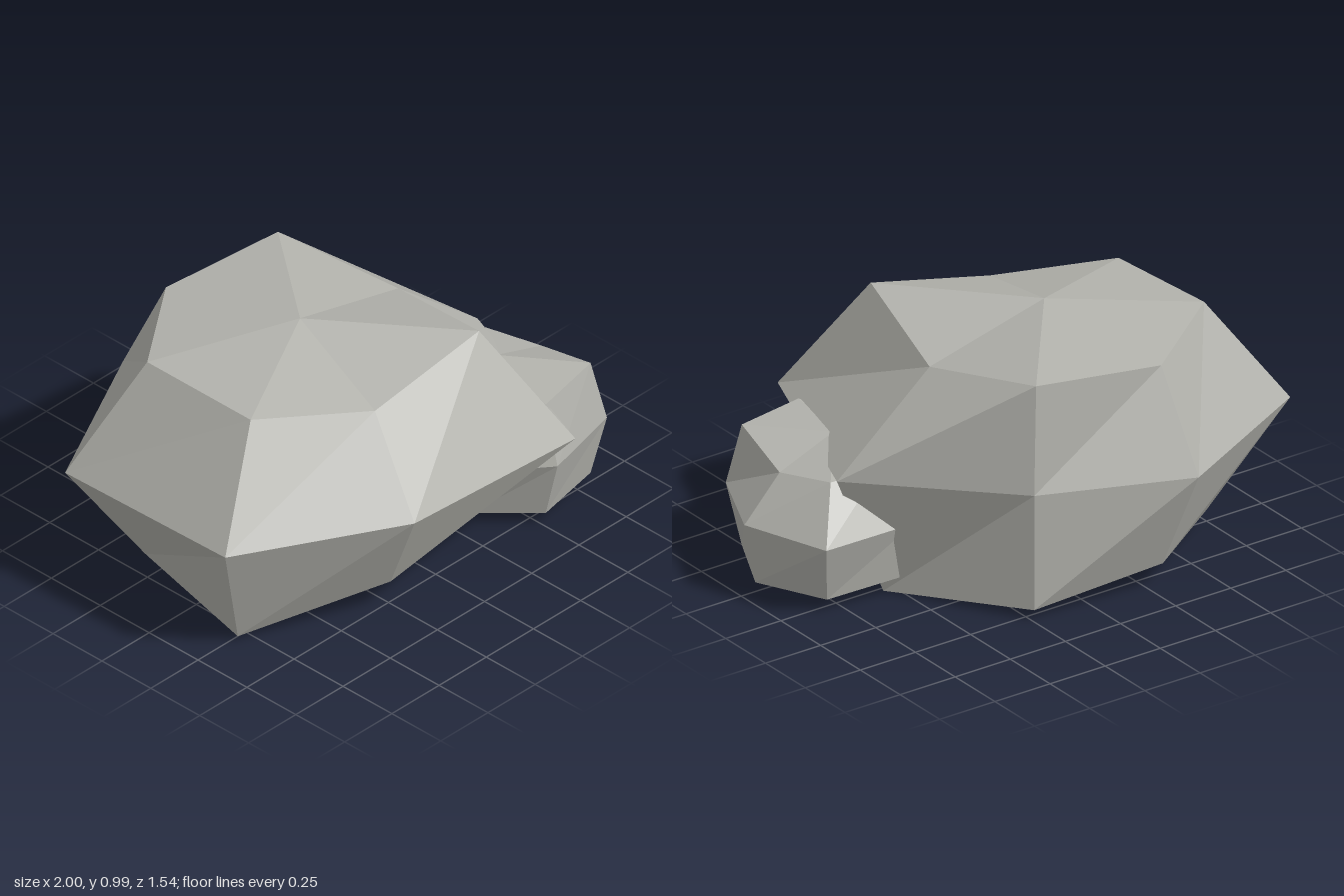
import * as THREE from 'three';

const stone = new THREE.MeshStandardMaterial({ color: 0xb2b2ac, flatShading: true });
stone.name = 'grey stone';

// Faceted boulder: rings run front -> +x -> back -> -x, closed by a pole at each end.
function boulder(name, top, rings, bottom) {
  const n = rings[0].length;
  const pos = [];
  const tri = (...pts) => pts.forEach((p) => pos.push(...p));
  for (let j = 0; j < n; j++) {
    const k = (j + 1) % n;
    tri(top, rings[0][j], rings[0][k]);
    for (let r = 0; r < rings.length - 1; r++) {
      const u = rings[r], l = rings[r + 1];
      tri(u[j], l[j], u[k]);
      tri(l[j], l[k], u[k]);
    }
    const last = rings[rings.length - 1];
    tri(bottom, last[k], last[j]);
  }
  const geo = new THREE.BufferGeometry();
  geo.setAttribute('position', new THREE.Float32BufferAttribute(pos, 3));
  geo.computeVertexNormals();
  const mesh = new THREE.Mesh(geo, stone);
  mesh.name = name;
  return mesh;
}

export function createModel() {
  const group = new THREE.Group();
  group.name = 'rocks';

  // Large rock: shoulder, waist and foot rings
  group.add(boulder('largeRock', [-0.18, 0.99, -0.02], [
    [[-0.28, 0.86, 0.46], [0.24, 0.97, 0.49], [0.34, 0.86, -0.02], [0.21, 0.94, -0.51],
      [-0.30, 0.91, -0.59], [-0.71, 0.93, -0.29], [-0.69, 0.91, 0.22]],
    [[-0.34, 0.51, 0.72], [0.46, 0.51, 0.77], [0.76, 0.51, -0.02], [0.24, 0.51, -0.54],
      [-0.34, 0.51, -0.77], [-1.00, 0.51, -0.43], [-0.98, 0.51, 0.37]],
    [[-0.28, 0.13, 0.54], [0.17, 0.13, 0.40], [0.55, 0.00, -0.02], [0.24, 0.04, -0.54],
      [-0.30, 0.10, -0.60], [-0.72, 0.07, -0.29], [-0.81, 0.02, 0.27]],
  ], [-0.18, 0.04, -0.02]));

  // Small rock leaning against its side
  group.add(boulder('smallRock', [0.59, 0.56, 0.24], [
    [[0.51, 0.54, 0.57], [0.81, 0.545, 0.51], [0.84, 0.47, 0.23], [0.76, 0.49, 0.02],
      [0.55, 0.50, 0.00], [0.34, 0.51, 0.11], [0.34, 0.51, 0.36]],
    [[0.50, 0.30, 0.64], [0.85, 0.30, 0.555], [1.00, 0.30, 0.23], [0.88, 0.30, -0.12],
      [0.49, 0.30, -0.125], [0.24, 0.30, 0.07], [0.20, 0.30, 0.40]],
    [[0.51, 0.05, 0.57], [0.81, 0.05, 0.51], [0.95, 0.05, 0.23], [0.82, 0.05, -0.04],
      [0.52, 0.07, -0.08], [0.32, 0.04, 0.10], [0.32, 0.05, 0.37]],
  ], [0.58, 0.01, 0.23]));

  return group;
}
